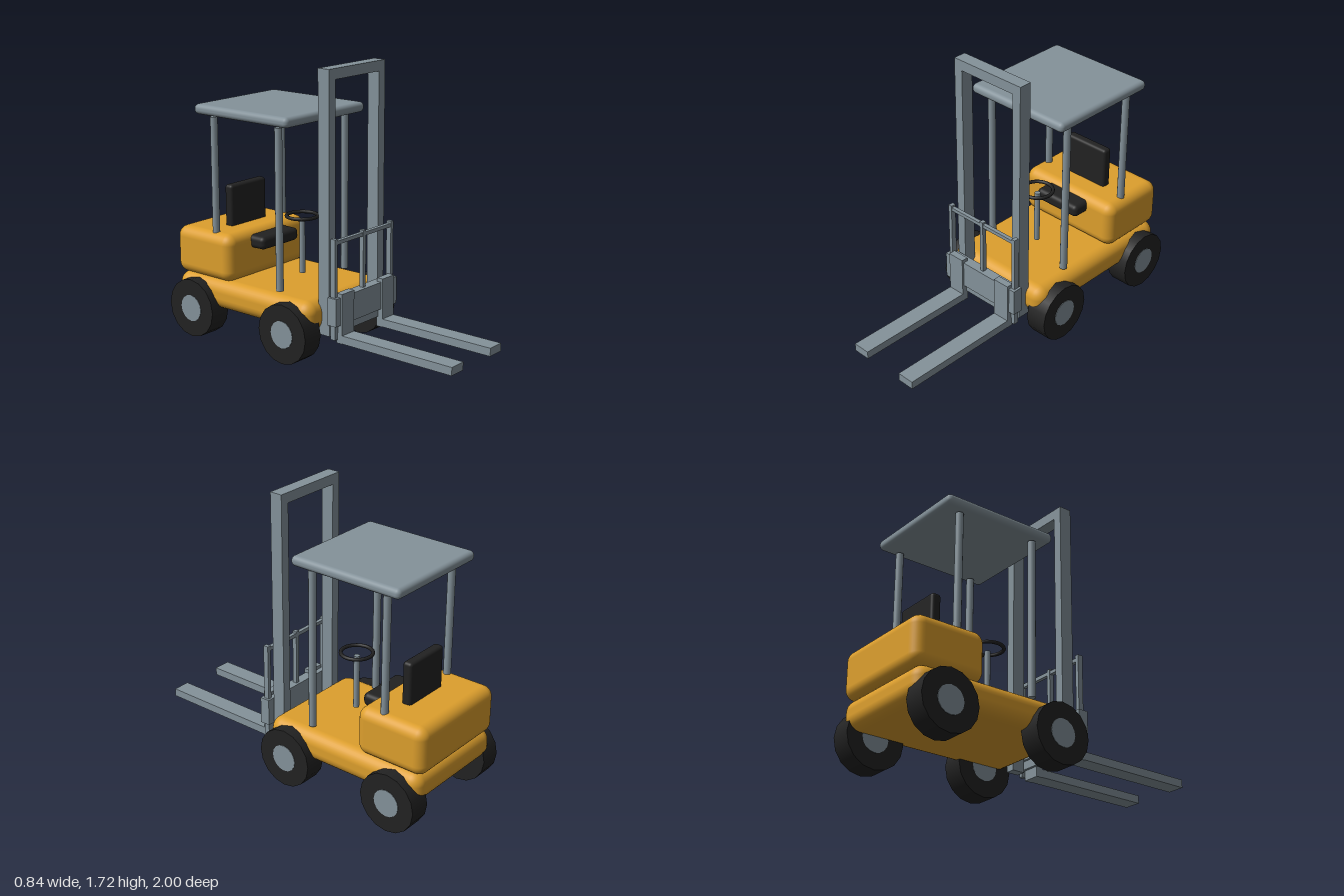
import * as THREE from 'three';
import { RoundedBoxGeometry } from 'three/addons/geometries/RoundedBoxGeometry.js';

export function createModel() {
  const group = new THREE.Group();
  const paint = (name, color) => Object.assign(new THREE.MeshStandardMaterial({ color }), { name });
  const yellow = paint('yellow paint', 0xdd9f2d);
  const steel = paint('grey steel', 0x84929a);
  const black = paint('black rubber', 0x222222);

  const add = (name, geometry, material, x = 0, y = 0, z = 0) => {
    const mesh = new THREE.Mesh(geometry, material);
    mesh.name = name;
    mesh.position.set(x, y, z);
    group.add(mesh);
    return mesh;
  };
  // Box given by its extents; a radius rounds its edges
  const box = (name, material, [x0, x1], [y0, y1], [z0, z1], radius = 0) => {
    const size = [x1 - x0, y1 - y0, z1 - z0];
    const geometry = radius ? new RoundedBoxGeometry(...size, 4, radius) : new THREE.BoxGeometry(...size);
    return add(name, geometry, material, (x0 + x1) / 2, (y0 + y1) / 2, (z0 + z1) / 2);
  };
  const post = (name, x, y0, y1, z, r) =>
    add(name, new THREE.CylinderGeometry(r, r, y1 - y0, 12), steel, x, (y0 + y1) / 2, z);

  // Body, counterweight and seat
  box('chassis', yellow, [-0.37, 0.37], [0.195, 0.38], [-0.985, 0.095], 0.075);
  box('counterweight', yellow, [-0.355, 0.355], [0.37, 0.665], [-1, -0.54], 0.065);
  box('seatCushion', black, [-0.163, 0.163], [0.557, 0.637], [-0.62, -0.44], 0.03);
  box('seatBack', black, [-0.155, 0.155], [0.62, 0.92], [-0.767, -0.705], 0.02);

  // Steering
  post('steeringColumn', 0, 0.42, 0.755, -0.272, 0.018);
  const ring = add('steeringWheel', new THREE.TorusGeometry(0.094, 0.011, 8, 28), black, 0, 0.775, -0.272);
  ring.rotation.x = Math.PI / 2;

  // Overhead guard
  box('roof', steel, [-0.355, 0.355], [1.378, 1.44], [-0.815, -0.075], 0.028);

  for (const side of [-1, 1]) {
    const span = (a, b) => (side > 0 ? [a, b] : [-b, -a]);

    post('frontRoofPost', side * 0.297, 0.395, 1.367, -0.188, 0.023);
    post('rearRoofPost', side * 0.297, 0.64, 1.367, -0.7, 0.023);

    // Wheels with hub discs
    for (const z of [-0.07, -0.812]) {
      const tyre = add('tyre', new THREE.CylinderGeometry(0.181, 0.181, 0.135, 16), black, side * 0.35, 0.183, z);
      const hub = add('hub', new THREE.CylinderGeometry(0.083, 0.083, 0.139, 16), steel, side * 0.351, 0.183, z);
      tyre.rotation.z = hub.rotation.z = Math.PI / 2;
    }

    // Mast rail, load guard upright and L-shaped fork
    box('mastRail', steel, span(0.195, 0.252), [0.175, 1.725], [0.07, 0.15]);
    box('guardUpright', steel, span(0.246, 0.27), [0.17, 0.77], [0.175, 0.208]);
    box('forkShank', steel, span(0.133, 0.242), [0.147, 0.447], [0.195, 0.238]);
    box('forkTine', steel, span(0.133, 0.242), [0.149, 0.198], [0.195, 1]);
  }

  // Mast head, carriage and load guard bars
  box('mastTopBar', steel, [-0.195, 0.195], [1.663, 1.725], [0.07, 0.15]);
  box('carriagePlate', steel, [-0.284, 0.284], [0.258, 0.425], [0.163, 0.226]);
  box('carriageLowerBar', steel, [-0.25, 0.25], [0.208, 0.258], [0.178, 0.206]);
  box('guardTopBar', steel, [-0.25, 0.25], [0.735, 0.757], [0.18, 0.204]);
  box('guardMiddleBar', steel, [-0.012, 0.012], [0.42, 0.77], [0.178, 0.206]);

  return group;
}
